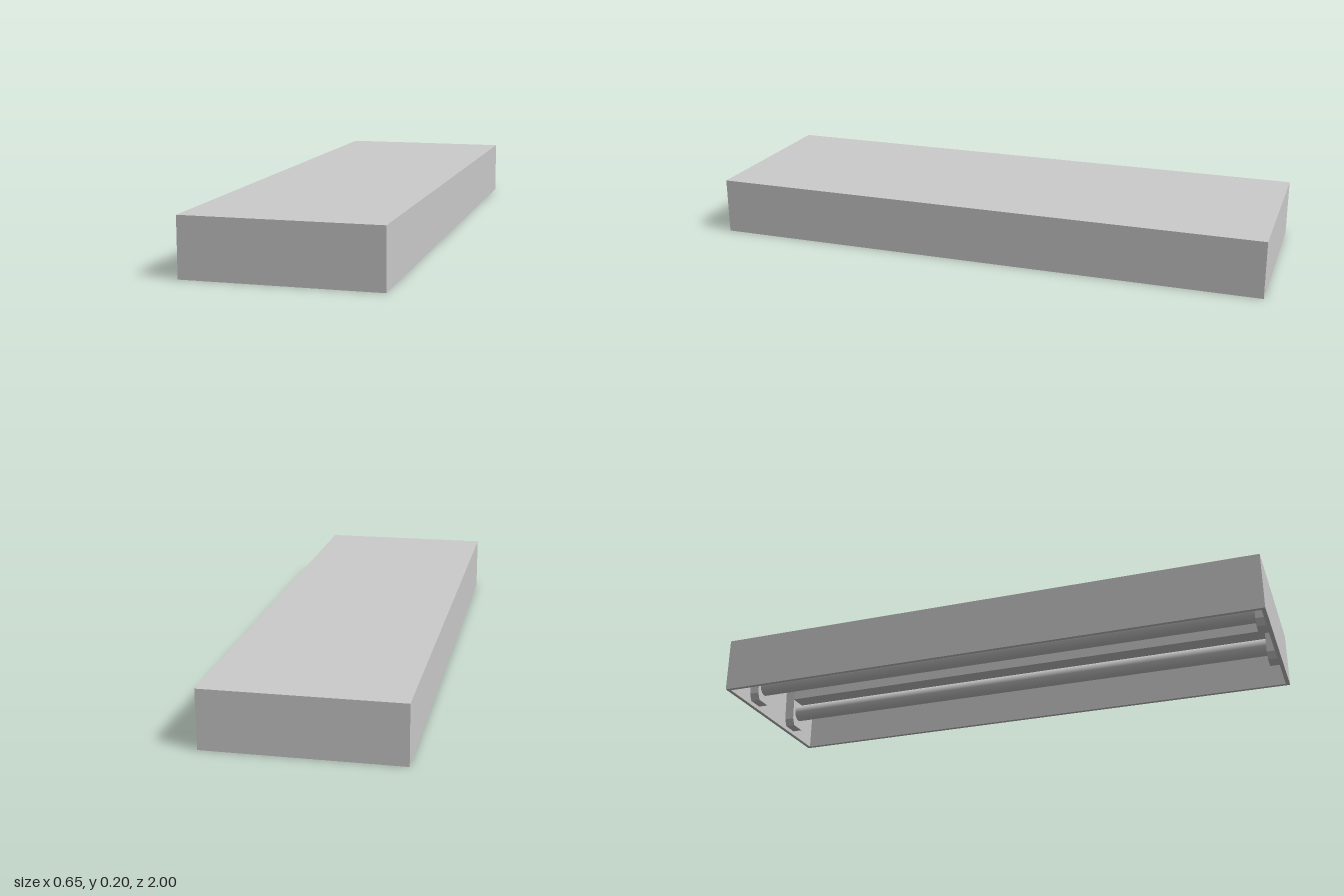
import * as THREE from 'three';

const W = 0.654, H = 0.2, L = 2, T = 0.014;   // housing size and sheet thickness
const LAMP_X = 0.138, LAMP_Y = 0.077;         // lamp axis
const HOLDER_Z = 0.95;                        // inner face of the lamp holders

export function createModel() {
  const group = new THREE.Group();
  const mat = new THREE.MeshStandardMaterial({ color: 0xcccccc });

  const add = (parent, name, geo, x, y, z) => {
    const mesh = new THREE.Mesh(geo, mat);
    mesh.name = name;
    mesh.position.set(x, y, z);
    parent.add(mesh);
    return mesh;
  };

  // Housing: a shallow tray, open underneath
  const housing = new THREE.Group();
  housing.name = 'housing';
  group.add(housing);
  add(housing, 'topPanel', new THREE.BoxGeometry(W, T, L), 0, H - T / 2, 0);
  for (const s of [-1, 1]) {
    add(housing, s > 0 ? 'leftWall' : 'rightWall',
      new THREE.BoxGeometry(T, H - T, L), s * (W - T) / 2, (H - T) / 2, 0);
    add(housing, s > 0 ? 'frontWall' : 'backWall',
      new THREE.BoxGeometry(W - 2 * T, H - T, T), 0, (H - T) / 2, s * (L - T) / 2);
  }

  // Lamp holder outline: tapered plate with a chamfered lower end
  const outline = new THREE.Shape([
    [-0.05, H - T], [-0.043, 0.04], [-0.03, 0.015],
    [0.03, 0.015], [0.043, 0.04], [0.05, H - T],
  ].map(([x, y]) => new THREE.Vector2(x, y)));
  const holderDepth = L / 2 - T - HOLDER_Z;
  const holderGeo = new THREE.ExtrudeGeometry(outline, { depth: holderDepth, bevelEnabled: false });

  // Two battens, each with a tube lamp held at both ends
  const battenH = 0.066;
  for (const s of [-1, 1]) {
    const unit = new THREE.Group();
    unit.name = s > 0 ? 'leftLampUnit' : 'rightLampUnit';
    unit.position.x = s * LAMP_X;
    group.add(unit);

    add(unit, 'batten', new THREE.BoxGeometry(0.1, battenH, 2 * HOLDER_Z),
      0, H - T - battenH / 2, 0);
    add(unit, 'lampTube', new THREE.CylinderGeometry(0.031, 0.031, 2 * HOLDER_Z, 32),
      0, LAMP_Y, 0).rotation.x = Math.PI / 2;
    add(unit, 'frontLampHolder', holderGeo, 0, 0, HOLDER_Z);
    add(unit, 'backLampHolder', holderGeo, 0, 0, -HOLDER_Z - holderDepth);
  }

  return group;
}
